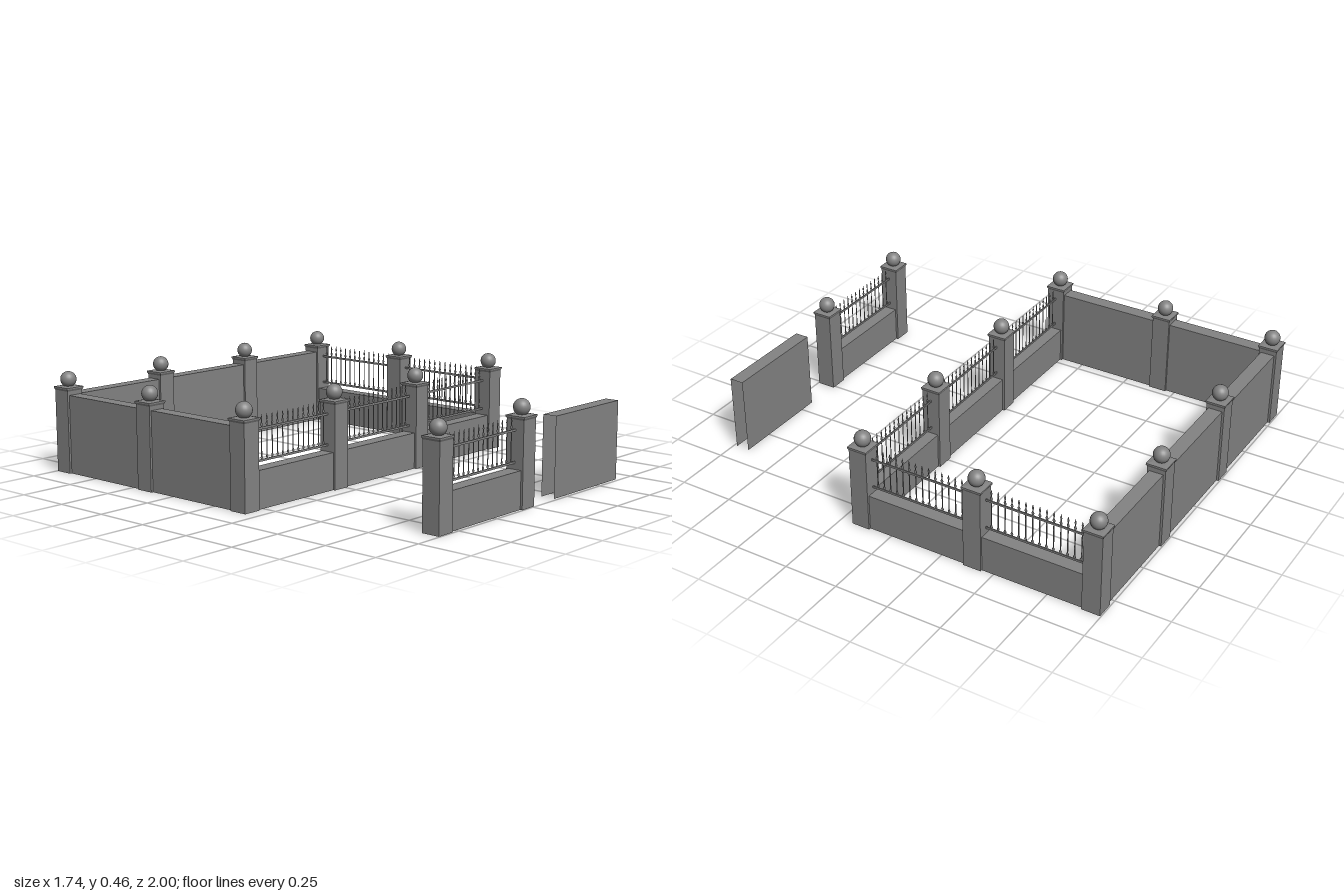
import * as THREE from 'three';

const GREY = 0x838383;
const stone = new THREE.MeshStandardMaterial({ color: GREY, flatShading: true, side: THREE.DoubleSide });
const smooth = new THREE.MeshStandardMaterial({ color: GREY });

const HALF = 0.042;   // half width of a pillar
const WALL_H = 0.355;

function add(parent, name, geometry, material, x = 0, y = 0, z = 0) {
  const mesh = new THREE.Mesh(geometry, material);
  mesh.name = name;
  mesh.position.set(x, y, z);
  parent.add(mesh);
  return mesh;
}

const profile = (pts) => pts.map(([r, y]) => new THREE.Vector2(r, y));

// Square pillar with a thin flared cap, open underneath
const pillarGeo = new THREE.LatheGeometry(profile(
  [[HALF, 0], [HALF, 0.373], [0.0465, 0.382], [0.0465, 0.388], [0.03, 0.391], [0, 0.391]]
    .map(([r, y]) => [r * Math.SQRT2, y])), 4).rotateY(Math.PI / 4);
const ballGeo = new THREE.SphereGeometry(0.036, 24, 16);

// Flattened wrought bar with collars and a spear point
const barGeo = new THREE.LatheGeometry(profile([
  [0, 0.19], [0.003, 0.19], [0.003, 0.2], [0.007, 0.207], [0.003, 0.216], [0.003, 0.335],
  [0.007, 0.346], [0.003, 0.355], [0.0025, 0.362], [0.005, 0.37], [0, 0.39]]), 8).scale(1, 1, 0.45);

function pillar(x, z) {
  const g = new THREE.Group();
  g.name = 'pillar';
  g.position.set(x, 0, z);
  add(g, 'pillarBody', pillarGeo, stone);
  add(g, 'pillarBall', ballGeo, smooth, 0, 0.42, 0);
  return g;
}

// Wall shell: two faces and a top, open at the ends and underneath
function wallShell(length, height) {
  const g = new THREE.BoxGeometry(length, height, 0.064).translate(0, height / 2, 0);
  const keep = [];
  for (const side of [2, 4, 5]) {
    for (let i = 0; i < 6; i++) keep.push(g.index.getX(side * 6 + i));
  }
  g.setIndex(keep);
  g.clearGroups();
  return g;
}

function solidPanel(length) {
  const g = new THREE.Group();
  g.name = 'solidWallPanel';
  add(g, 'wall', wallShell(length, WALL_H), stone);
  return g;
}

// Low wall with a railing held just above it by two rails
function railingPanel(length) {
  const g = new THREE.Group();
  g.name = 'railingPanel';
  add(g, 'lowWall', wallShell(length, 0.165), stone);
  const railGeo = new THREE.BoxGeometry(length, 0.009, 0.005);
  add(g, 'bottomRail', railGeo, stone, 0, 0.195, 0);
  add(g, 'topRail', railGeo, stone, 0, 0.33, 0);
  const count = 14, span = length - 0.06;
  for (let i = 0; i < count; i++) {
    add(g, 'bar', barGeo, smooth, (i / (count - 1) - 0.5) * span, 0, 0);
  }
  return g;
}

// Places a panel between two pillar centres
function panelBetween(make, [x0, z0], [x1, z1]) {
  const dx = x1 - x0, dz = z1 - z0;
  const panel = make(Math.hypot(dx, dz) - 2 * HALF + 0.006);
  panel.position.set((x0 + x1) / 2, 0, (z0 + z1) / 2);
  panel.rotation.y = Math.atan2(-dz, dx);
  return panel;
}

export function createModel() {
  const model = new THREE.Group();
  model.name = 'walledEnclosure';

  // Pillars in order round the yard, starting at the front -x corner
  const ring = [
    [-0.824, 0.149], [-0.277, 0.149], [0.273, 0.149], [0.823, 0.149],
    [0.823, -0.403], [0.823, -0.9535],
    [0.291, -0.9535], [-0.269, -0.9535], [-0.824, -0.9535],
    [-0.824, -0.415],
  ];
  ring.forEach((p, i) => {
    model.add(pillar(...p));
    // Railings along the front and +x side, solid walls elsewhere
    model.add(panelBetween(i < 5 ? railingPanel : solidPanel, p, ring[(i + 1) % ring.length]));
  });

  // Free-standing railing section
  const a = [-0.577, 0.9535], b = [-0.028, 0.9535];
  model.add(pillar(...a), pillar(...b), panelBetween(railingPanel, a, b));

  // Free-standing solid panel
  const loose = solidPanel(0.478);
  loose.position.set(0.414, 0, 0.952);
  model.add(loose);

  return model;
}
